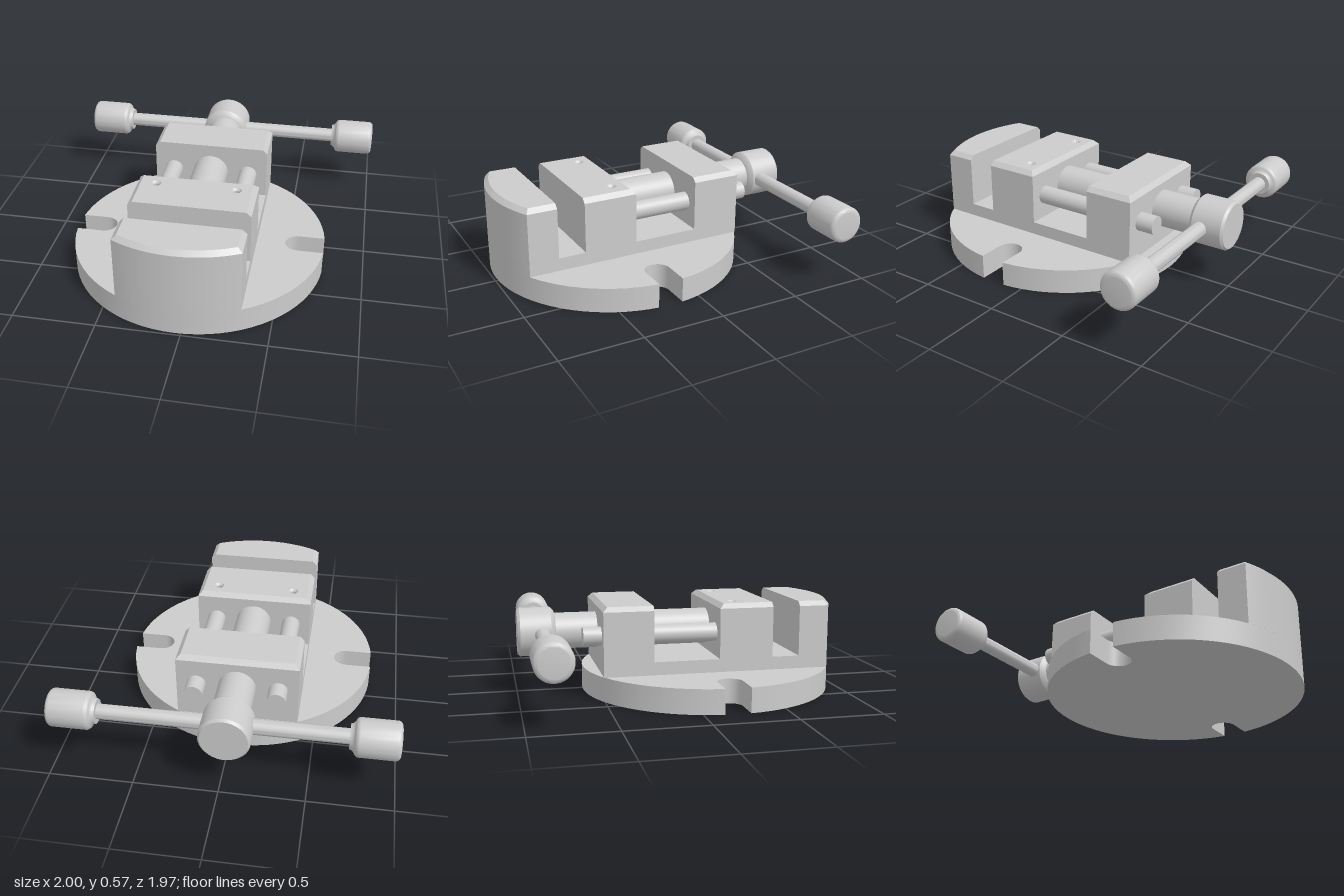
import * as THREE from 'three';
import { mergeGeometries, toCreasedNormals } from 'three/addons/utils/BufferGeometryUtils.js';

const mat = new THREE.MeshStandardMaterial({ color: 0xcccccc });
const R = 0.787;        // base radius
const W = 0.367;        // body half width
const CH = 0.028;       // chamfer on the jaws
const BASE = 0.15, FLOOR = 0.23, TOP = 0.567, AXIS = 0.38;

const arc = (cx, cy, r, a0, a1, n) => Array.from({ length: n + 1 }, (_, i) => {
  const a = a0 + (a1 - a0) * i / n;
  return [cx + r * Math.cos(a), cy + r * Math.sin(a)];
});

// Plan outlines, counter-clockwise, with the second coordinate pointing to the back
const rect = (w, v0, v1) => [[-w, v0], [w, v0], [w, v1], [-w, v1]];
const roundFront = (w, r, v1) => {
  const a = Math.asin(w / r);
  return [...arc(0, 0, r, -Math.PI / 2 - a, -Math.PI / 2 + a, 20), [w, v1], [-w, v1]];
};

function mesh(name, geometry, crease = 0.5) {
  const m = new THREE.Mesh(toCreasedNormals(geometry, crease), mat);
  m.name = name;
  return m;
}

// Upright block lofted through [outline, height] levels and capped at both ends
function block(name, levels, holes = []) {
  const cap = ([outline, y], up) => {
    const shape = new THREE.Shape(outline.map(p => new THREE.Vector2(...p)));
    if (up) for (const [x, v, r] of holes) shape.holes.push(new THREE.Path().absarc(x, v, r, 0, Math.PI * 2, true));
    const g = new THREE.ShapeGeometry(shape, 12).rotateX(-Math.PI / 2).translate(0, y, 0);
    if (!up) g.index.array.reverse();
    g.deleteAttribute('uv');
    g.deleteAttribute('normal');
    return g.toNonIndexed();
  };
  const pos = [];
  for (let k = 0; k + 1 < levels.length; k++) {
    const [lo, y0] = levels[k], [hi, y1] = levels[k + 1];
    lo.forEach((p, i) => {
      const j = (i + 1) % lo.length;
      const a = [p[0], y0, -p[1]], b = [lo[j][0], y0, -lo[j][1]];
      const c = [hi[j][0], y1, -hi[j][1]], d = [hi[i][0], y1, -hi[i][1]];
      pos.push(...a, ...b, ...c, ...a, ...c, ...d);
    });
  }
  const sides = new THREE.BufferGeometry();
  sides.setAttribute('position', new THREE.Float32BufferAttribute(pos, 3));
  return mesh(name, mergeGeometries([cap(levels[0], false), sides, cap(levels.at(-1), true)]));
}

const lathe = (points, n = 40) => new THREE.LatheGeometry(points.map(p => new THREE.Vector2(...p)), n);

export function createModel() {
  const model = new THREE.Group();
  model.name = 'drillPressVise';
  const vise = new THREE.Group();
  vise.name = 'vise';
  vise.position.set(-0.035, 0, 0.197);
  model.add(vise);

  // Round base with two clamping slots
  const s = 0.077, sx = 0.622, b = Math.asin(s / R), H = Math.PI / 2;
  const disc = [
    ...arc(0, 0, R, b, Math.PI - b, 36), ...arc(-sx, 0, s, H, -H, 14),
    ...arc(0, 0, R, Math.PI + b, 2 * Math.PI - b, 36), ...arc(sx, 0, s, 3 * H, H, 14),
  ];
  vise.add(block('base', [[disc, 0], [disc, BASE]]));

  // Bed joining the jaws
  const bed = roundFront(W, R, 0.702);
  vise.add(block('bed', [[bed, BASE], [bed, FLOOR]]));

  // Jaws: front fixed, sliding and rear fixed
  const front = roundFront(W, R, -0.513);
  vise.add(block('frontJaw', [[front, FLOOR], [front, TOP - CH], [roundFront(W - CH, R - CH, -0.513), TOP]]));

  const holes = [-0.245, 0.245].map(x => [x, -0.113, 0.031]);
  const slide = rect(W, -0.343, -0.008);
  vise.add(block('slidingJaw', [[slide, FLOOR], [slide, TOP - CH], [rect(W - CH, -0.343, -0.008 - CH), TOP]], holes));

  const rear = rect(W, 0.397, 0.702);
  vise.add(block('rearJaw', [[rear, FLOOR], [rear, TOP - CH], [rect(W - CH, 0.397, 0.702 - CH), TOP]]));

  // Countersunk holes and guide rods, one pair each
  for (const [x, v, r] of holes) {
    const hole = mesh('screwHole', lathe([[r, 0], [0.018, -0.014], [0.018, -0.06], [0, -0.06]], 24));
    hole.position.set(x, TOP, -v);
    vise.add(hole);

    const rod = mesh('guideRod', new THREE.CylinderGeometry(0.057, 0.057, 0.87, 32).rotateX(H));
    rod.position.set(x, AXIS, -0.377);
    vise.add(rod);
  }

  // Screw spindle with its collar
  const spindle = mesh('spindle', lathe([
    [0, -0.04], [0.112, -0.04], [0.112, 0.957], [0.132, 0.965], [0.15, 0.985],
    [0.15, 1.172], [0.137, 1.187], [0, 1.187],
  ], 48).rotateX(-H));
  spindle.position.y = AXIS;
  vise.add(spindle);

  // Cross handle with a rounded knob at each end
  const handle = new THREE.Group();
  handle.name = 'handle';
  handle.position.set(0, AXIS, -0.843);
  model.add(handle);
  handle.add(mesh('handleBar', new THREE.CylinderGeometry(0.045, 0.045, 1.5, 32).rotateZ(H)));
  const f = 0.028, k = 0.112;
  const knob = [
    [0, 0.718], [0.072, 0.718], [0.076, 0.732], [0.088, 0.744],
    ...arc(k - f, 0.744 + f, f, -H * 0.8, 0, 5), ...arc(k - f, 1 - f, f, 0, H, 6), [0, 1],
  ];
  for (const side of [-1, 1]) handle.add(mesh(side > 0 ? 'leftKnob' : 'rightKnob', lathe(knob).rotateZ(-side * H), 0.6));

  return model;
}
